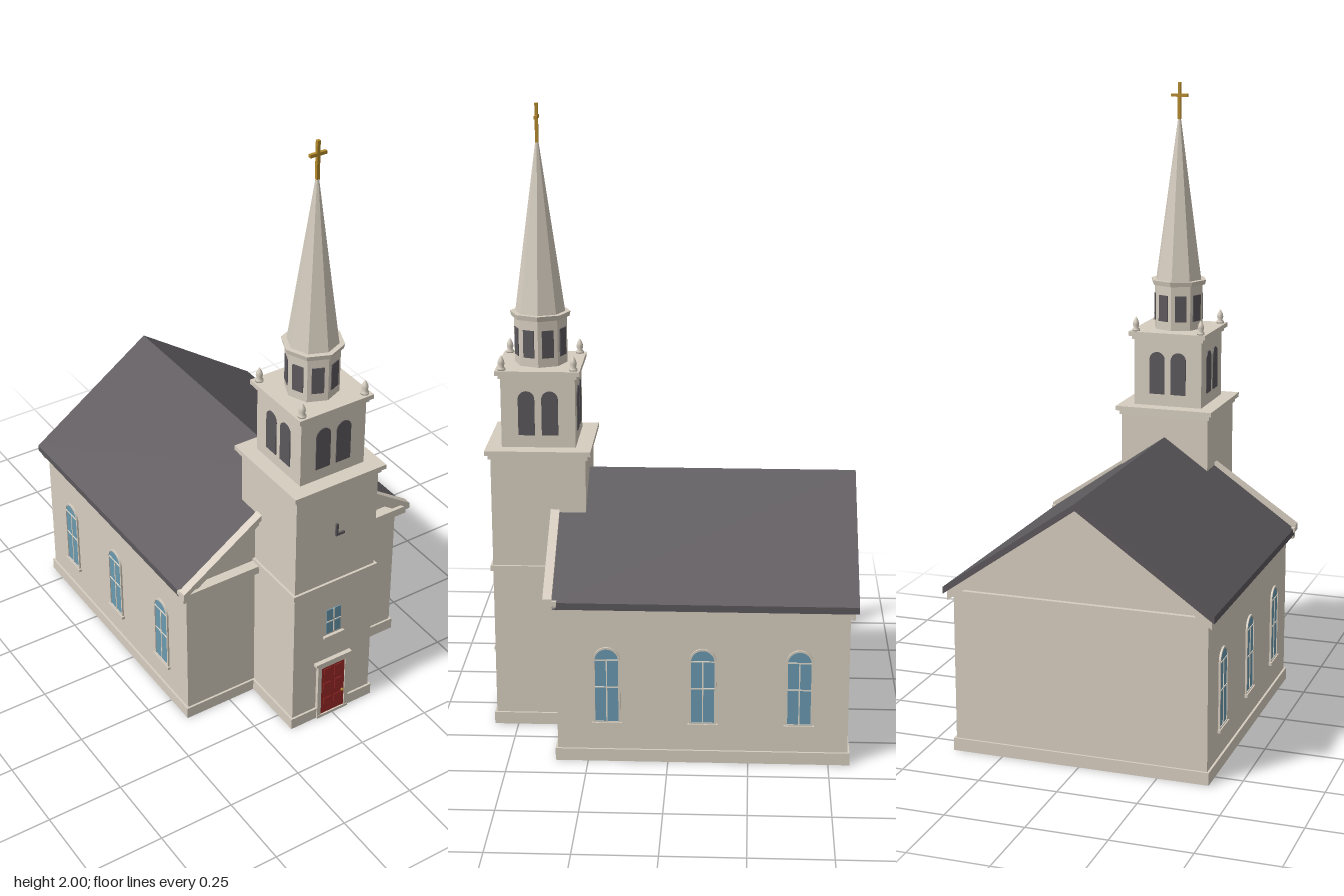
import * as THREE from 'three';

const mat = (name, color) => {
  const m = new THREE.MeshStandardMaterial({ color });
  m.name = name;
  return m;
};

export function createModel() {
  const stone = mat('stone', 0xd6cdbf);
  const trim = mat('window trim', 0xe2dccf);
  const slate = mat('slate', 0x5c585c);
  const glass = mat('glass', 0x6a9ab0);
  const red = mat('door red', 0x9e2b27);
  const gold = mat('gold', 0xb48a2c);

  const model = new THREE.Group();
  model.name = 'church';
  const TZ = 0.42; // tower axis

  const add = (name, geo, m, x = 0, y = 0, z = 0, parent = model) => {
    const mesh = new THREE.Mesh(geo, m);
    mesh.name = name;
    mesh.position.set(x, y, z);
    parent.add(mesh);
    return mesh;
  };
  // box given by its limits
  const box = (name, m, x0, x1, y0, y1, z0, z1, parent = model) =>
    add(name, new THREE.BoxGeometry(x1 - x0, y1 - y0, z1 - z0), m,
      (x0 + x1) / 2, (y0 + y1) / 2, (z0 + z1) / 2, parent);
  // square storey around the tower axis
  const storey = (name, r, y0, y1) => box(name, stone, -r, r, y0, y1, TZ - r, TZ + r);
  const extrude = (shape, depth) =>
    new THREE.ExtrudeGeometry(shape, { depth, bevelEnabled: false, curveSegments: 12 });
  const polygon = (pts) => new THREE.Shape(pts.map(([x, y]) => new THREE.Vector2(x, y)));
  // roof-shaped strip of thickness t
  const chevron = (w, eave, ridge, t) => polygon([[w, eave], [0, ridge], [-w, eave],
    [-w, eave - t], [0, ridge - t], [w, eave - t]]);
  // round-headed opening: half width r, from y0 to springing y1
  const arch = (r, y0, y1) => {
    const s = new THREE.Shape();
    s.moveTo(-r, y0);
    s.lineTo(r, y0);
    s.lineTo(r, y1);
    s.absarc(0, y1, r, 0, Math.PI, false);
    s.closePath();
    return s;
  };
  const octagon = (rTop, rBottom, h) => {
    const g = new THREE.CylinderGeometry(rTop, rBottom, h, 8).toNonIndexed();
    g.computeVertexNormals();
    return g;
  };

  // Nave
  add('naveWalls', extrude(polygon([[-0.405, 0], [0.405, 0], [0.405, 0.52], [0, 0.81], [-0.405, 0.52]]), 0.905),
    stone, 0, 0, -0.56);
  box('navePlinth', stone, -0.412, 0.412, 0, 0.04, -0.567, 0.352);
  box('naveCornice', stone, -0.42, 0.42, 0.503, 0.524, -0.574, 0.355);
  add('roof', extrude(chevron(0.43, 0.535, 0.836, 0.022), 0.94), slate, 0, 0, -0.585);
  add('backRake', extrude(chevron(0.42, 0.52, 0.814, 0.03), 0.014), stone, 0, 0, -0.574);

  // Front pediment
  box('pedimentCornice', stone, -0.43, 0.43, 0.503, 0.526, 0.34, 0.37);
  box('pedimentLedge', stone, -0.435, 0.435, 0.526, 0.54, 0.34, 0.38);
  add('rakeMoulding', extrude(chevron(0.435, 0.548, 0.842, 0.02), 0.028), stone, 0, 0, 0.354);
  add('rakeBoard', extrude(chevron(0.42, 0.54, 0.824, 0.03), 0.026), stone, 0, 0, 0.342);

  // Round-headed side windows, made facing +z and turned outward
  for (const side of [-1, 1]) {
    for (const z of [0.19, -0.108, -0.407]) {
      const w = new THREE.Group();
      w.name = 'sideWindow';
      w.position.set(side * 0.405, 0, z);
      w.rotation.y = side * Math.PI / 2;
      model.add(w);
      add('glass', extrude(arch(0.036, 0.135, 0.34), 0.003), glass, 0, 0, 0, w);
      const frame = arch(0.042, 0.13, 0.34);
      frame.holes.push(arch(0.036, 0.135, 0.34));
      add('frame', extrude(frame, 0.006), stone, 0, 0, 0, w);
      box('mullion', trim, -0.002, 0.002, 0.135, 0.34, 0, 0.005, w);
      for (const y of [0.25, 0.34]) box('transom', trim, -0.036, 0.036, y - 0.002, y + 0.002, 0, 0.005, w);
      box('sill', stone, -0.047, 0.047, 0.121, 0.131, 0, 0.01, w);
    }
  }

  // Tower
  storey('towerShaft', 0.15, 0, 0.92);
  storey('towerPlinth', 0.157, 0, 0.04);
  storey('towerBand', 0.158, 0.532, 0.55);
  storey('towerMoulding', 0.157, 0.905, 0.92);
  storey('towerCornice', 0.167, 0.92, 0.935);
  storey('belfry', 0.117, 0.935, 1.165);
  storey('belfryMoulding', 0.124, 1.158, 1.17);
  storey('belfryCornice', 0.133, 1.17, 1.185);

  // Paired belfry openings on each face
  for (let i = 0; i < 4; i++) {
    const face = new THREE.Group();
    face.name = 'belfryOpenings';
    face.position.z = TZ;
    face.rotation.y = i * Math.PI / 2;
    model.add(face);
    for (const x of [-0.037, 0.037])
      add('louvre', extrude(arch(0.026, 0.975, 1.092), 0.003), slate, x, 0, 0.117, face);
  }

  // Corner pinnacles
  const pinnacle = new THREE.LatheGeometry([[0, 0], [0.013, 0], [0.013, 0.006], [0.008, 0.01], [0.011, 0.022],
    [0.009, 0.032], [0.004, 0.042], [0, 0.048]].map(([x, y]) => new THREE.Vector2(x, y)), 12);
  for (const x of [-0.113, 0.113])
    for (const z of [-0.113, 0.113]) add('pinnacle', pinnacle, stone, x, 1.185, TZ + z);

  // Eight-sided lantern with dark openings
  add('lantern', octagon(0.084, 0.084, 0.155), stone, 0, 1.2625, TZ);
  const apothem = 0.084 * Math.cos(Math.PI / 8);
  for (let i = 0; i < 8; i++) {
    const a = (i + 0.5) * Math.PI / 4;
    const p = add('lanternOpening', new THREE.BoxGeometry(0.038, 0.088, 0.006), slate,
      Math.sin(a) * apothem, 1.258, TZ + Math.cos(a) * apothem);
    p.rotation.y = a;
  }
  add('lanternCornice', octagon(0.096, 0.092, 0.016), stone, 0, 1.342, TZ);

  // Spire and cross
  add('spire', octagon(0.004, 0.079, 0.54), stone, 0, 1.62, TZ);
  box('crossPost', gold, -0.005, 0.005, 1.88, 2, TZ - 0.005, TZ + 0.005);
  box('crossArm', gold, -0.028, 0.028, 1.953, 1.963, TZ - 0.005, TZ + 0.005);

  // Clock hands
  const F = TZ + 0.15;
  box('minuteHand', slate, -0.005, 0.003, 0.725, 0.77, F, F + 0.007);
  box('hourHand', slate, -0.005, 0.028, 0.725, 0.733, F, F + 0.007);

  // Small front window
  box('frontGlass', glass, -0.027, 0.027, 0.34, 0.435, F, F + 0.003);
  box('frontMullion', trim, -0.002, 0.002, 0.34, 0.435, F, F + 0.005);
  box('frontTransom', trim, -0.027, 0.027, 0.386, 0.39, F, F + 0.005);
  box('frontSill', stone, -0.038, 0.038, 0.323, 0.332, F, F + 0.01);

  // Door and surround
  box('door', red, -0.046, 0.046, 0.01, 0.208, F, F + 0.008);
  box('doorStep', stone, -0.06, 0.06, 0, 0.01, F, F + 0.013);
  for (const s of [-1, 1]) {
    box('doorJamb', stone, s * 0.053 - 0.007, s * 0.053 + 0.007, 0, 0.22, F, F + 0.012);
    for (const y of [0.03, 0.095, 0.155])
      box('doorPanel', red, s * 0.021 - 0.014, s * 0.021 + 0.014, y, y + 0.042, F, F + 0.01);
  }
  box('doorHead', stone, -0.06, 0.06, 0.208, 0.222, F, F + 0.012);
  box('doorCap', stone, -0.069, 0.069, 0.222, 0.233, F, F + 0.015);
  add('doorKnob', new THREE.SphereGeometry(0.005, 12, 8), gold, 0.038, 0.078, F + 0.01);

  return model;
}
